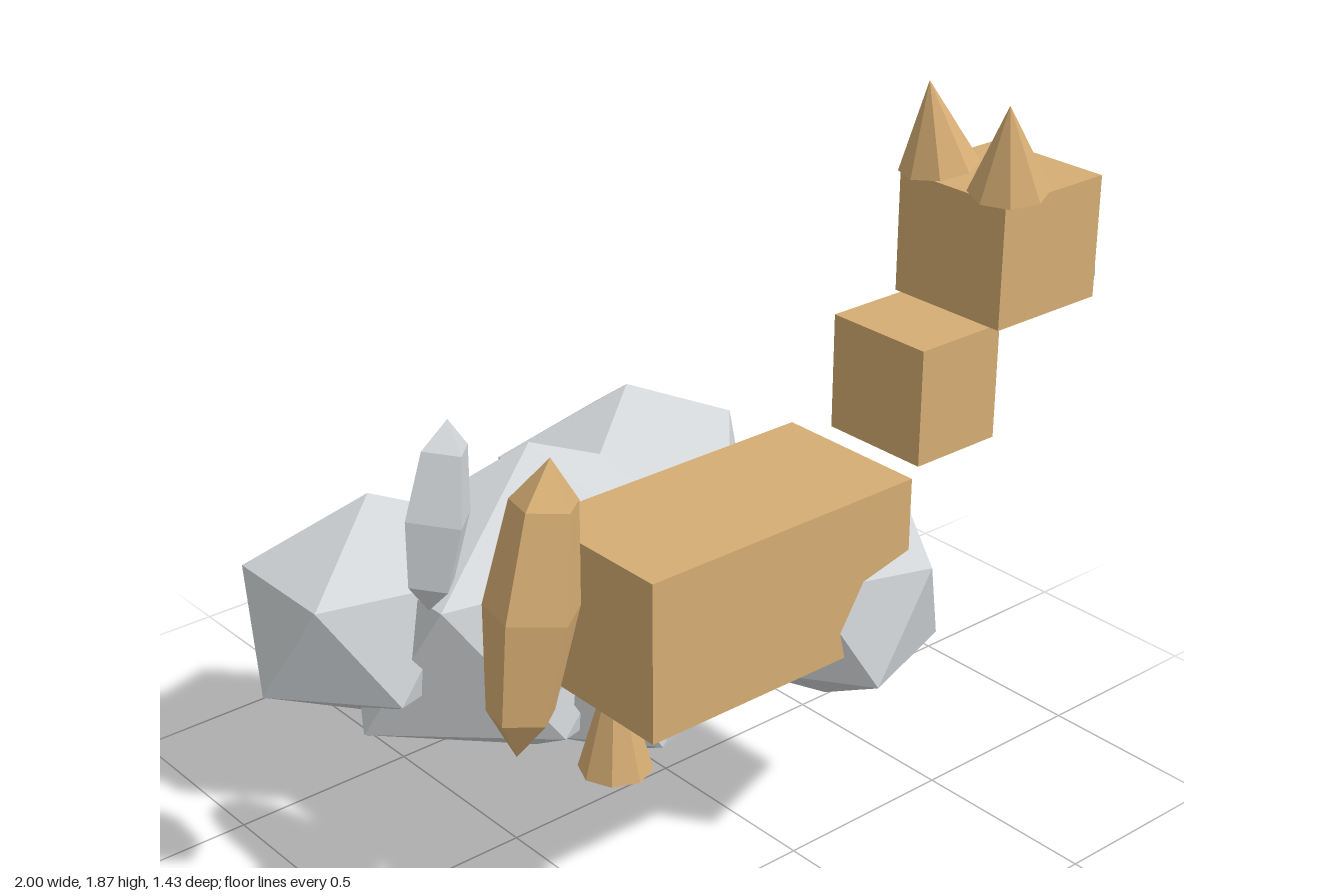
import * as THREE from 'three';
import { ConvexGeometry } from 'three/addons/geometries/ConvexGeometry.js';

export function createModel() {
  const model = new THREE.Group();
  const tan = new THREE.MeshStandardMaterial({ color: 0xd6ad73, flatShading: true });
  tan.name = 'tan fur';
  const grey = new THREE.MeshStandardMaterial({ color: 0xd3d7da, flatShading: true });
  grey.name = 'pale grey';

  function add(name, geometry, material, x, y, z) {
    const mesh = new THREE.Mesh(geometry, material);
    mesh.name = name;
    mesh.position.set(x, y, z);
    model.add(mesh);
    return mesh;
  }

  // Icosahedron standing on a vertex, stretched to the given radii
  function puff(name, x, y, z, rx, ry = rx, rz = rx) {
    const g = new THREE.IcosahedronGeometry(1, 0);
    g.rotateZ(-Math.atan(2 / (1 + Math.sqrt(5))));
    g.scale(rx, ry, rz);
    return add(name, g, grey, x, y, z);
  }

  // Faceted spindle along y: three rings at the given angles and two tips
  function spindle(angles, rx, halfHeight, rz) {
    const points = [new THREE.Vector3(0, -halfHeight, 0), new THREE.Vector3(0, halfHeight, 0)];
    for (const tilt of [-Math.PI / 4, 0, Math.PI / 4]) {
      for (const a of angles) {
        const r = Math.cos(tilt);
        points.push(new THREE.Vector3(Math.sin(a) * rx * r, Math.sin(tilt) * halfHeight, Math.cos(a) * rz * r));
      }
    }
    return new ConvexGeometry(points);
  }

  // Cloud puffs
  puff('cloudCentre', -0.19, 0.459, -0.318, 0.61, 0.454, 0.41);
  puff('cloudRight', 0.227, 0.573, -0.43, 0.417, 0.343, 0.341);
  puff('cloudLeft', -0.607, 0.538, -0.438, 0.383, 0.319, 0.315);
  puff('cloudFront', -0.08, 0.345, -0.045, 0.3, 0.268, 0.265);

  // Small puffs around the cloud
  puff('smallPuff1', -0.42, 0.46, 0.025, 0.06);
  puff('smallPuff2', -0.267, 0.275, 0.12, 0.06);
  puff('smallPuff3', 0.08, 0.615, 0.065, 0.06);
  puff('smallPuffBack', -0.165, 0.58, -0.645, 0.09, 0.075, 0.06);

  // Animal: body, neck and head
  const cz = 0.4425;
  add('body', new THREE.BoxGeometry(0.8, 0.41, 0.415), tan, -0.19, 0.84, cz);
  add('neck', new THREE.BoxGeometry(0.26, 0.3, 0.3), tan, 0.42, 1.18, cz);
  add('head', new THREE.BoxGeometry(0.34, 0.315, 0.345), tan, 0.685, 1.4875, cz + 0.005);

  // Chest and muzzle
  puff('chest', 0.15, 0.687, cz, 0.302, 0.3, 0.312);
  puff('muzzle', 0.875, 1.372, 0.45, 0.14, 0.105, 0.14);

  // Ears lean back and slightly outwards
  for (const side of [-1, 1]) {
    const ear = add(side < 0 ? 'rightEar' : 'leftEar', new THREE.ConeGeometry(0.1, 0.22, 8),
      tan, 0.571, 1.763, 0.449 + side * 0.122);
    ear.rotation.set(side * 0.07, 0, 0.14);
  }

  // Flared legs
  for (const [name, x] of [['hindLeg', -0.53], ['frontLeg', 0.155]]) {
    add(name, new THREE.CylinderGeometry(0.03, 0.09, 0.21, 8), tan, x, 0.555, cz);
  }

  // Five-sided tail
  const five = [0, 1, 2, 3, 4].map((i) => i * Math.PI * 0.4 + 0.12);
  const tail = add('tail', spindle(five, 0.124, 0.367, 0.108), tan, -0.7225, 0.918, 0.392);
  tail.rotation.z = -0.157;

  // Flat-backed tail tip
  const half = [-Math.PI / 2, 0, Math.PI / 2];
  const tip = add('tailTip', spindle(half, 0.088, 0.225, 0.087), grey, -0.908, 1.183, 0.305);
  tip.rotation.z = -0.157;

  return model;
}
